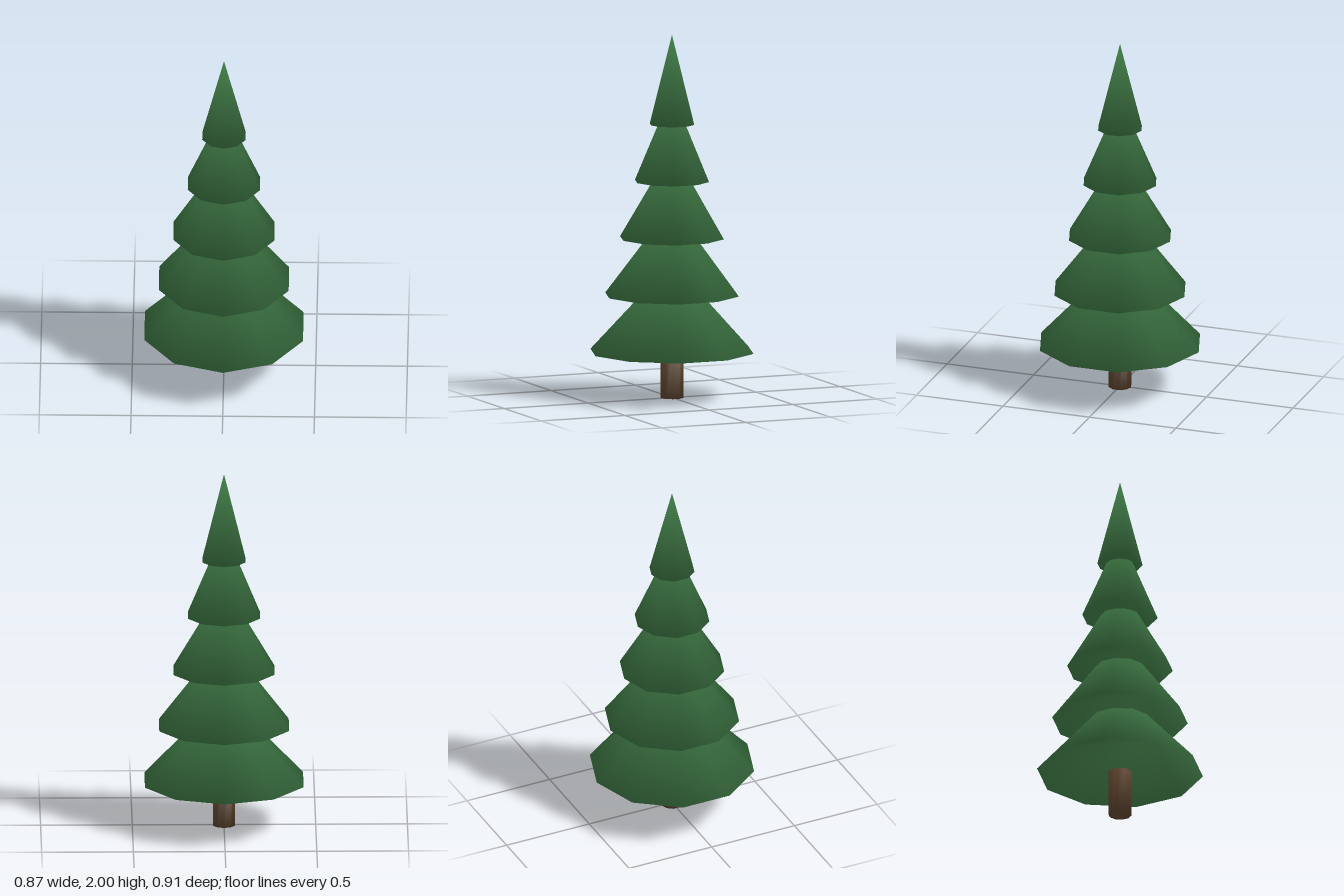
import * as THREE from 'three';

const SIDES = 10;

// Closed solid with shared corners, smoothed over its rims.
// rings: [radius, y] from bottom to top; radius 0 makes a tip.
function softSolid(rings) {
  const points = [];
  const loops = rings.map(([r, y]) => {
    const count = r === 0 ? 1 : SIDES;
    return Array.from({ length: count }, (_, i) => {
      const a = (i / SIDES) * Math.PI * 2;
      return points.push(new THREE.Vector3(r * Math.sin(a), y, r * Math.cos(a))) - 1;
    });
  });

  // Bottom cap, walls, and a top cap unless the solid ends in a tip
  const faces = [[...loops[0]].reverse()];
  for (let k = 0; k + 1 < loops.length; k++) {
    const low = loops[k], high = loops[k + 1];
    for (let i = 0; i < SIDES; i++) {
      const j = (i + 1) % SIDES;
      faces.push(high.length === 1 ? [low[i], low[j], high[0]] : [low[i], low[j], high[j], high[i]]);
    }
  }
  const top = loops[loops.length - 1];
  if (top.length > 1) faces.push(top);

  // Each corner normal is the average of its faces, weighted by corner angle
  const normals = points.map(() => new THREE.Vector3());
  const index = [];
  for (const face of faces) {
    const n = face.length;
    face.forEach((v, i) => {
      const toNext = points[face[(i + 1) % n]].clone().sub(points[v]);
      const toPrev = points[face[(i + n - 1) % n]].clone().sub(points[v]);
      const faceNormal = toNext.clone().cross(toPrev).normalize();
      normals[v].addScaledVector(faceNormal, toNext.angleTo(toPrev));
    });
    for (let i = 1; i < n - 1; i++) index.push(face[0], face[i], face[i + 1]);
  }

  const flat = (list) => new THREE.Float32BufferAttribute(list.flatMap((v) => v.toArray()), 3);
  const geometry = new THREE.BufferGeometry();
  geometry.setAttribute('position', flat(points));
  geometry.setAttribute('normal', flat(normals.map((v) => v.normalize())));
  geometry.setIndex(index);
  return geometry;
}

export function createModel() {
  const tree = new THREE.Group();
  tree.name = 'pineTree';

  const foliageGreen = new THREE.MeshStandardMaterial({ color: 0x3f7a46 });
  foliageGreen.name = 'foliageGreen';
  const barkBrown = new THREE.MeshStandardMaterial({ color: 0x60462f });
  barkBrown.name = 'barkBrown';

  // Trunk, running a little way into the lowest tier
  const trunk = new THREE.Mesh(softSolid([[0.064, 0], [0.064, 0.3]]), barkBrown);
  trunk.name = 'trunk';
  tree.add(trunk);

  // Five overlapping cones of equal height, narrowing upwards
  const height = 0.493;
  for (let i = 0; i < 5; i++) {
    const radius = 0.455 - i * 0.0827;
    const tier = new THREE.Mesh(softSolid([[radius, 0], [0, height]]), foliageGreen);
    tier.name = `foliageTier${i + 1}`;
    tier.position.y = 0.255 + i * 0.313;
    tree.add(tier);
  }

  return tree;
}
